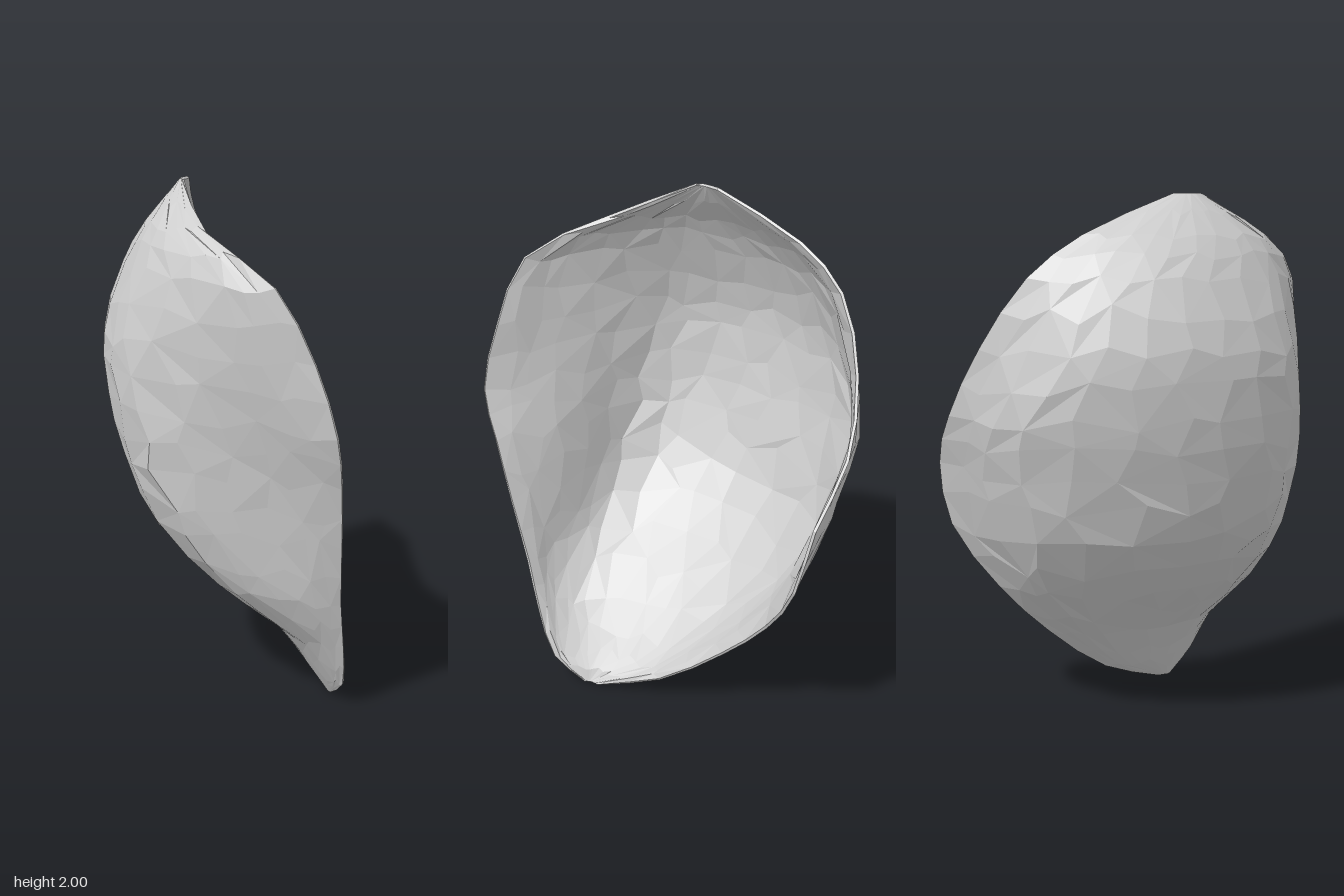
import * as THREE from 'three';

// Level sections of the cupped petal: [y, then x,z pairs from front rim round the hollow to back rim]
const SECTIONS = [
  [0.00, 0.152, 0.33, 0.15, 0.32, 0.15, 0.31, 0.155, 0.30, 0.16, 0.29, 0.17, 0.27],
  [0.10, 0.13, 0.46, 0.11, 0.42, 0.09, 0.30, 0.12, 0.16, 0.18, 0.05, 0.24, 0.00],
  [0.30, 0.09, 0.53, 0.02, 0.47, -0.04, 0.32, 0.00, 0.05, 0.15, -0.21, 0.32, -0.26],
  [0.50, 0.05, 0.575, -0.10, 0.49, -0.27, 0.28, -0.18, -0.12, 0.10, -0.43, 0.42, -0.43],
  [0.75, 0.01, 0.64, -0.17, 0.48, -0.46, 0.22, -0.38, -0.22, 0.03, -0.60, 0.575, -0.53],
  [1.00, -0.03, 0.70, -0.22, 0.48, -0.55, 0.17, -0.46, -0.27, 0.02, -0.68, 0.57, -0.59],
  [1.20, -0.08, 0.75, -0.27, 0.49, -0.585, 0.12, -0.48, -0.33, -0.02, -0.72, 0.41, -0.69],
  [1.45, -0.14, 0.70, -0.33, 0.48, -0.59, 0.05, -0.48, -0.36, -0.15, -0.65, 0.23, -0.71],
  [1.70, -0.24, 0.60, -0.36, 0.44, -0.51, 0.05, -0.42, -0.30, -0.20, -0.53, 0.06, -0.64],
  [1.85, -0.34, 0.28, -0.39, 0.20, -0.435, 0.03, -0.37, -0.20, -0.22, -0.38, -0.06, -0.48],
  [2.00, -0.28, -0.07, -0.28, -0.08, -0.275, -0.10, -0.26, -0.12, -0.24, -0.14, -0.22, -0.16],
];
const COLS = 16, ROWS = 20, THICKNESS = 0.022;

function seeded(seed) {
  return () => (seed = (seed * 16807) % 2147483647) / 2147483647;
}

// Smooth grid of points through the sections, with slightly uneven facets away from the rim
function surfacePoints() {
  const rand = seeded(41);
  const columns = [0, 1, 2, 3, 4, 5].map((k) => new THREE.CatmullRomCurve3(
    SECTIONS.map((s) => new THREE.Vector3(s[1 + 2 * k], s[0], s[2 + 2 * k]))));
  const points = [];
  for (let j = 0; j <= ROWS; j++) {
    for (let i = 0; i <= COLS; i++) {
      const inside = i > 0 && i < COLS && j > 0 && j < ROWS;
      const u = (i + (inside ? (rand() - 0.5) * 0.55 : 0)) / COLS;
      const v = (j + (inside ? (rand() - 0.5) * 0.55 : 0)) / ROWS;
      const row = new THREE.CatmullRomCurve3(columns.map((c) => c.getPoint(v)));
      points.push(row.getPoint(u));
    }
  }
  return points;
}

function shellGeometry() {
  const outer = surfacePoints();
  const n = outer.length, w = COLS + 1;
  const innerFaces = [];
  for (let j = 0; j < ROWS; j++) {
    for (let i = 0; i < COLS; i++) {
      const a = j * w + i, b = a + 1, c = a + w, d = c + 1;
      if ((i + j) % 2) innerFaces.push(a, b, d, a, d, c);
      else innerFaces.push(a, b, c, b, d, c);
    }
  }

  // Inner skin: outer skin moved along its normals, thinning towards the rim
  const skin = new THREE.BufferGeometry().setFromPoints(outer);
  skin.setIndex(innerFaces);
  skin.computeVertexNormals();
  const normal = new THREE.Vector3();
  const inner = outer.map((p, k) => {
    const i = k % w, j = Math.floor(k / w);
    const edge = Math.min(i, COLS - i, j, ROWS - j);
    normal.fromBufferAttribute(skin.attributes.normal, k);
    return p.clone().addScaledVector(normal, THICKNESS * (edge === 0 ? 0.5 : 1));
  });

  const faces = [...innerFaces];
  for (let k = 0; k < innerFaces.length; k += 3) {
    faces.push(innerFaces[k] + n, innerFaces[k + 2] + n, innerFaces[k + 1] + n);
  }

  // Rim strip joining both skins
  const loop = [];
  for (let i = 0; i < COLS; i++) loop.push(i);
  for (let j = 0; j < ROWS; j++) loop.push(j * w + COLS);
  for (let i = COLS; i > 0; i--) loop.push(ROWS * w + i);
  for (let j = ROWS; j > 0; j--) loop.push(j * w);
  loop.forEach((a, k) => {
    const b = loop[(k + 1) % loop.length];
    faces.push(b, a, a + n, b, a + n, b + n);
  });

  const geometry = new THREE.BufferGeometry().setFromPoints([...inner, ...outer]);
  geometry.setIndex(faces);
  const flat = geometry.toNonIndexed();
  flat.computeVertexNormals();
  return flat;
}

export function createModel() {
  const group = new THREE.Group();
  group.name = 'cuppedPetal';
  const material = new THREE.MeshStandardMaterial({ color: 0xcccccc });
  material.name = 'paleGrey';
  material.flatShading = true;
  const shell = new THREE.Mesh(shellGeometry(), material);
  shell.name = 'petalShell';
  group.add(shell);
  return group;
}
